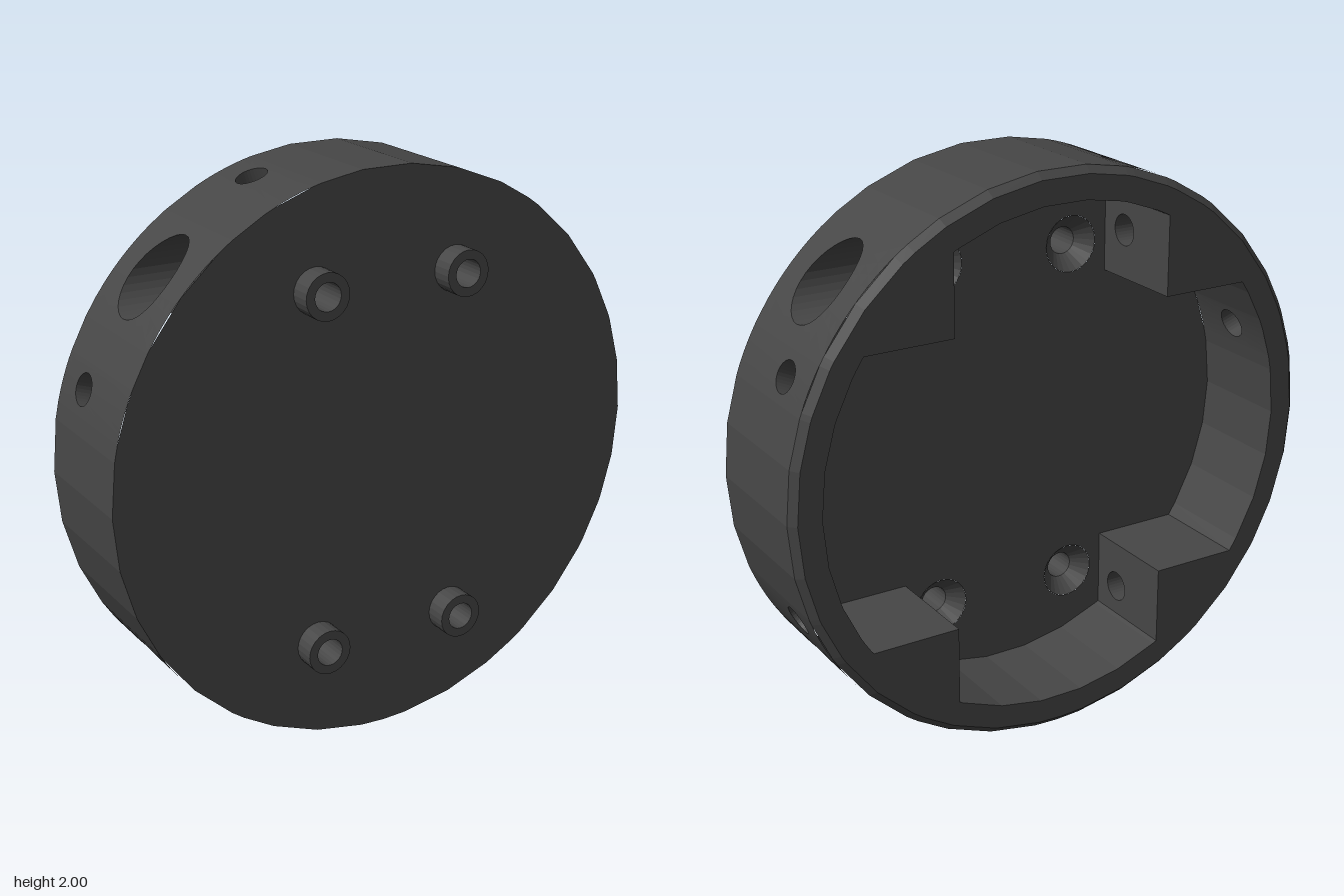
import * as THREE from 'three';

const BACK = -0.287, CHAMFER = -0.262, FLOOR = 0.085, FRONT = 0.207, BOSS = 0.287;
const OUTER = 1, RIM = 0.975, INNER = 0.89;      // shell radii
const BX = 0.41, BY = 0.51;                      // inner corner of the four blocks
const BORE_Y = 0.68, BORE_Z = -0.03, BORE_R = 0.12, BORE_END = 0.53, SMALL_R = 0.055;
const SIDES = 34, N = 32;
const rad = THREE.MathUtils.degToRad;

// Angular sectors of the wall that carry a hole: [centre, half width]
const pinSectors = [-25, 25, 109, 161].map(a => [rad(a), rad(5)]);
const boreSectors = [-43.5, 43.5, 136.5, 223.5].map(a => [rad(a), rad(12.5)]);
const allSectors = [...pinSectors, ...boreSectors];

const material = new THREE.MeshStandardMaterial({ color: 0x464646, flatShading: true });

// Geometry from four-cornered faces
function fromQuads(quads) {
  const pos = [];
  for (const [a, b, c, d] of quads) pos.push(...a, ...b, ...c, ...a, ...c, ...d);
  const g = new THREE.BufferGeometry();
  g.setAttribute('position', new THREE.Float32BufferAttribute(pos, 3));
  g.computeVertexNormals();
  return g;
}

// Sorted angles from a0 to a1: regular sides plus the sector edges
function arc(a0, a1, sectors) {
  const step = 2 * Math.PI / SIDES, list = [a0, a1];
  for (let k = -SIDES; k <= SIDES * 2; k++) list.push(k * step);
  for (const [c, w] of sectors) list.push(c - w, c + w);
  return list.filter(a => a >= a0 && a <= a1).sort((p, q) => p - q)
    .filter((a, i, all) => i === 0 || a - all[i - 1] > 1e-6);
}
const inSector = (a, sectors) => sectors.some(([c, w]) => Math.abs(a - c) < w);
const polar = (r, a, z) => [r * Math.cos(a), r * Math.sin(a), z];

// Band between two rings, left open at the given sectors
function band(angles, r0, z0, r1, z1, sectors = []) {
  const quads = [];
  for (let i = 0; i + 1 < angles.length; i++) {
    const a = angles[i], b = angles[i + 1];
    if (inSector((a + b) / 2, sectors)) continue;
    quads.push([polar(r0, a, z0), polar(r0, b, z0), polar(r1, b, z1), polar(r1, a, z1)]);
  }
  return quads;
}

// Surface through closed loops of points
function loft(loops, flip = false) {
  const quads = [];
  for (let k = 0; k + 1 < loops.length; k++) {
    for (let i = 0; i < N; i++) {
      const j = (i + 1) % N;
      const q = [loops[k][i], loops[k][j], loops[k + 1][j], loops[k + 1][i]];
      quads.push(flip ? q.reverse() : q);
    }
  }
  return quads;
}
const loop = f => Array.from({ length: N }, (_, i) => {
  const p = i / N * 2 * Math.PI, c = Math.cos(p), s = Math.sin(p);
  const m = Math.max(Math.abs(c), Math.abs(s));
  return f(c, s, c / m, s / m);                  // circle point and square point
});

// Loops on a cylinder wall running from a sector's border to a hole's edge
function wallLoops(r, [centre, half], z0, z1, hole) {
  return [0, 0.35, 0.7, 1].map(t => loop((c, s, u, v) => {
    const [ha, hz] = hole(c, s);
    const ba = centre + half * u, bz = (z0 + z1) / 2 + (z1 - z0) / 2 * v;
    return polar(r, ba + (ha - ba) * t, bz + (hz - bz) * t);
  }));
}

// Radial pin hole through the wall, with the wall around it on both sides
function pinHole(sector) {
  const edge = r => (c, s) => [sector[0] + Math.asin(SMALL_R * c / r), -0.1 + SMALL_R * s];
  return loft([
    ...wallLoops(OUTER, sector, CHAMFER, FRONT, edge(OUTER)),
    ...wallLoops(INNER, sector, BACK, FLOOR, edge(INNER)).reverse(),
  ]);
}

// Counterbored side hole, from the outer wall through to the block's inner face
function sideBore(sx, sy) {
  const top = Math.sqrt(INNER ** 2 - BX ** 2);
  const ring = (x, r) => loop((c, s) => [x, BORE_Y + r * c, BORE_Z + r * s]);
  const loops = [
    ...wallLoops(OUTER, boreSectors[1], CHAMFER, FRONT,
      (c, s) => [Math.asin(BORE_Y + BORE_R * c), BORE_Z + BORE_R * s]),
    ring(BORE_END, BORE_R), ring(BORE_END, SMALL_R), ring(BX, SMALL_R),
    loop((c, s, u, v) => [BX, (BY + top) / 2 + (top - BY) / 2 * u,
      (BACK + FLOOR) / 2 + (FLOOR - BACK) / 2 * v]),
  ];
  return loft(loops.map(l => l.map(([x, y, z]) => [x * sx, y * sy, z])), sx * sy < 0);
}

// Flat plate with holes, facing front or back
function plate(outline, holes, z, facingBack) {
  const shape = new THREE.Shape(outline.map(p => new THREE.Vector2(p[0], p[1])));
  shape.holes = holes;
  const g = new THREE.ShapeGeometry(shape, 24);
  g.translate(0, 0, z);
  if (facingBack) {
    g.index.array.reverse();
    g.computeVertexNormals();
  }
  return g;
}

export function createModel() {
  const group = new THREE.Group();
  group.name = 'roundHousing';
  const add = (name, geometry) => {
    const mesh = new THREE.Mesh(geometry, material);
    mesh.name = name;
    mesh.position.y = 1;
    group.add(mesh);
    return mesh;
  };
  const circle = (x, y, r) => new THREE.Path().absarc(x, y, r, 0, 2 * Math.PI, false);
  const screws = [[1, 1], [-1, 1], [-1, -1], [1, -1]].map(([sx, sy]) => [0.267 * sx, 0.625 * sy]);

  // Outer wall and chamfered back edge
  const round = arc(-Math.PI / 2, 1.5 * Math.PI, allSectors);
  add('outerWall', fromQuads(band(round, OUTER, CHAMFER, OUTER, FRONT, allSectors)));
  add('backChamfer', fromQuads(band(round, RIM, BACK, OUTER, CHAMFER)));

  // Cavity outline: four arcs joined by the corners of the blocks
  const a = Math.asin(BY / INNER), b = Math.acos(BX / INNER), PI = Math.PI;
  const arcs = [[-a, a], [b, PI - b], [PI - a, PI + a], [PI + b, 2 * PI - b]]
    .map(([p, q]) => arc(p, q, pinSectors));
  const corners = [[BX, BY], [-BX, BY], [-BX, -BY], [BX, -BY]];
  const cavity = arcs.flatMap((list, i) => [...list.map(t => polar(INNER, t, 0)), corners[i]]);
  add('innerWall', fromQuads(arcs.flatMap(
    list => band(list, INNER, FLOOR, INNER, BACK, pinSectors))));

  // Level faces of the blocks
  add('blockFaces', fromQuads(corners.map(([x, y]) => {
    const e = Math.sign(x) * Math.sqrt(INNER ** 2 - BY ** 2);
    const q = [[e, y, FLOOR], [x, y, FLOOR], [x, y, BACK], [e, y, BACK]];
    return x * y > 0 ? q : q.reverse();
  })));

  // Back rim with block ends, cavity floor and front face
  const ringPoints = r => round.slice(0, -1).map(t => polar(r, t, 0));
  const cavityPath = new THREE.Path(cavity.map(p => new THREE.Vector2(p[0], p[1])));
  add('backRim', plate(ringPoints(RIM), [cavityPath], BACK, true));
  add('cavityFloor', plate(cavity, screws.map(([x, y]) => circle(x, y, 0.1)), FLOOR, true));
  add('frontFace', plate(ringPoints(OUTER), screws.map(([x, y]) => circle(x, y, 0.048)), FRONT, false));

  // Pin holes and counterbored side holes
  pinSectors.forEach(s => add('pinHole', fromQuads(pinHole(s))));
  for (const sx of [1, -1]) for (const sy of [1, -1]) add('sideBore', fromQuads(sideBore(sx, sy)));

  // Hollow screw bosses with a countersink in the floor
  const profile = [[0.08, FRONT], [0.08, BOSS], [0.048, BOSS], [0.048, 0.14], [0.1, FLOOR]]
    .map(p => new THREE.Vector2(...p));
  const boss = new THREE.LatheGeometry(profile, 24).rotateX(Math.PI / 2);
  for (const [x, y] of screws) add('screwBoss', boss).position.set(x, 1 + y, 0);

  return group;
}
